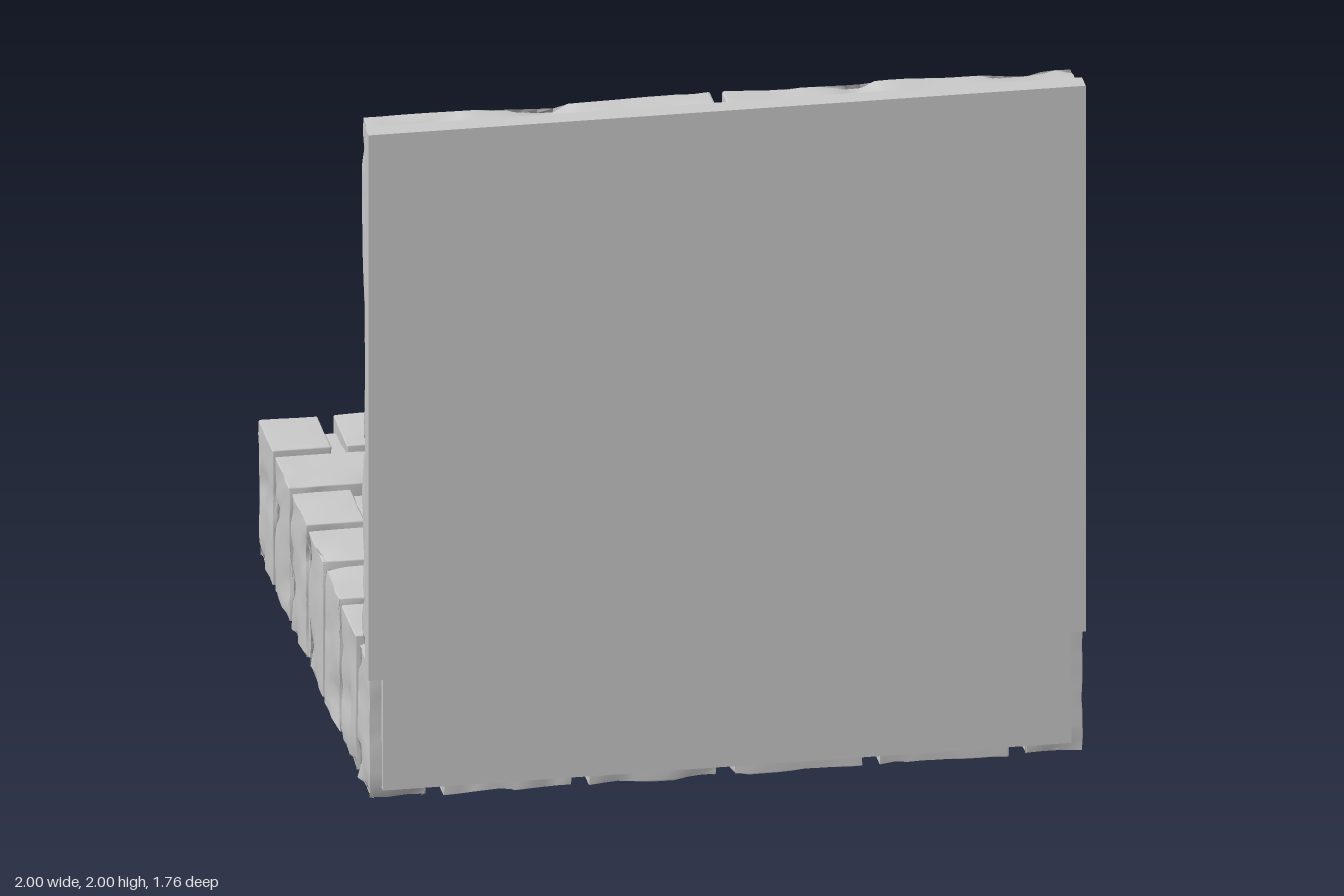
import * as THREE from 'three';
import { mergeVertices } from 'three/addons/utils/BufferGeometryUtils.js';

const grey = new THREE.MeshStandardMaterial({ color: 0xcccccc, roughness: 0.9 });
const { clamp, lerp, smoothstep } = THREE.MathUtils;

function mesh(name, geometry, parent) {
  const m = new THREE.Mesh(geometry, grey);
  m.name = name;
  parent.add(m);
  return m;
}

// box given by its lower and upper limits
function block(name, [x0, x1], [y0, y1], [z0, z1], parent) {
  const m = mesh(name, new THREE.BoxGeometry(x1 - x0, y1 - y0, z1 - z0), parent);
  m.position.set((x0 + x1) / 2, (y0 + y1) / 2, (z0 + z1) / 2);
  return m;
}

// smooth seeded value noise, 0..1
function hash(x, y, z) {
  const s = Math.sin(x * 127.1 + y * 311.7 + z * 74.7) * 43758.5453;
  return s - Math.floor(s);
}
function noise(x, y, z) {
  const c = [x, y, z].map(Math.floor);
  const f = [x - c[0], y - c[1], z - c[2]].map(t => t * t * (3 - 2 * t));
  const row = (j, k) => lerp(hash(c[0], c[1] + j, c[2] + k), hash(c[0] + 1, c[1] + j, c[2] + k), f[0]);
  return lerp(lerp(row(0, 0), row(1, 0), f[1]), lerp(row(0, 1), row(1, 1), f[1]), f[2]);
}

// chipped stone: a box with worn edges and shallow pits
function stone(name, xs, ys, zs, parent, step = 0.035, depth = 0.014) {
  const lim = [xs, ys, zs], size = lim.map(l => l[1] - l[0]), mid = lim.map(l => (l[0] + l[1]) / 2);
  const seg = size.map(s => clamp(Math.round(s / step), 5, 26));
  const r = 0.008;
  const geo = new THREE.BoxGeometry(...size, ...seg);
  geo.deleteAttribute('uv');
  geo.deleteAttribute('normal');
  const pos = geo.attributes.position, p = new THREE.Vector3(), core = new THREE.Vector3(), dir = new THREE.Vector3();
  for (let i = 0; i < pos.count; i++) {
    p.fromBufferAttribute(pos, i);
    for (let a = 0; a < 3; a++) {
      const h = size[a] / 2, v = p.getComponent(a), n = seg[a];
      const k = Math.round((v / size[a] + 0.5) * n);
      // the outermost segment on every side is as wide as the edge radius
      const w = k === 0 ? -h : k === n ? h : lerp(-h + r, h - r, (k - 1) / (n - 2));
      p.setComponent(a, w);
      core.setComponent(a, clamp(w, -h + r, h - r));
    }
    dir.subVectors(p, core).normalize();
    const [x, y, z] = p.toArray().map((v, a) => v + mid[a] + 7);
    const pits = smoothstep(noise(x * 13, y * 13, z * 13), 0.62, 0.95) * depth * 1.3;
    const waves = noise(x * 6 + 3, y * 6, z * 6) * depth * 0.45;
    const chips = smoothstep(noise(x * 28, y * 28 + 5, z * 28), 0.6, 1) * depth * 0.6;
    p.copy(core).addScaledVector(dir, r - pits - waves - chips);
    pos.setXYZ(i, p.x, p.y, p.z);
  }
  const smooth = mergeVertices(geo, 1e-5);
  smooth.computeVertexNormals();
  mesh(name, smooth, parent).position.set(...mid);
}

// brick floor in running bond on a recessed mortar bed
function buildFloor() {
  const floor = new THREE.Group();
  floor.name = 'brickFloor';
  block('mortarBed', [-0.96, 0.96], [0.04, 0.37], [-0.84, 0.88], floor);
  const gap = 0.018;
  const joints = [[-0.81, -0.405, 0, 0.405, 0.81], [-0.61, -0.205, 0.205, 0.61]];
  for (let row = 0; row < 7; row++) {
    const z0 = -0.885 + row * 0.2625;
    const z1 = Math.min(z0 + 0.226, 0.865);
    const edges = [-1 - gap, ...joints[row % 2], 1 + gap];
    for (let i = 0; i + 1 < edges.length; i++) {
      stone('floorBrick', [edges[i] + gap, edges[i + 1] - gap], [0, 0.412], [z0, z1], floor);
    }
  }
  return floor;
}

// thin backing panel faced with four large stones
function buildWall() {
  const wall = new THREE.Group();
  wall.name = 'wall';
  block('wallPanel', [-1, 1], [0.37, 2], [0.82, 0.88], wall);
  for (const ys of [[0.4, 0.985], [1.015, 1.985]]) {
    for (const xs of [[-0.99, -0.015], [0.015, 0.995]]) {
      stone('wallStone', xs, ys, [0.7, 0.826], wall, 0.04, 0.02);
    }
  }
  return wall;
}

// carved picture frame lying on the floor
function buildFrame() {
  const frame = new THREE.Group();
  frame.name = 'pictureFrame';
  frame.position.set(-0.014, 0, -0.125);
  const hx = 0.47, hz = 0.64, ix = 0.335, iz = 0.52, r = 0.045, perSide = 44;
  const bulge = t => Math.cos(t * Math.PI / 2) ** 2 - 0.3 * Math.exp(-(((Math.abs(t) - 0.8) / 0.1) ** 2));

  // profile from the outer foot over the rim to the inner edge: (share of width, height)
  const profile = new THREE.CatmullRomCurve3([
    [1, 0.405], [1, 0.44], [1, 0.485], [0.96, 0.51], [0.84, 0.518], [0.7, 0.5], [0.5, 0.492],
    [0.3, 0.497], [0.14, 0.512], [0.04, 0.508], [0, 0.49], [0, 0.45],
  ].map(([s, y]) => new THREE.Vector3(s, y, 0))).getPoints(36);

  // matching outer and inner outline points, going round once
  const corners = [[1, 1], [1, -1], [-1, -1], [-1, 1]];
  const outline = [];
  for (let c = 0; c < 4; c++) {
    const a = corners[c], b = corners[(c + 1) % 4];
    for (let k = 0; k < perSide; k++) {
      const u = lerp(a[0], b[0], k / perSide), v = lerp(a[1], b[1], k / perSide);
      const cx = clamp(u * hx, -hx + r, hx - r), cz = clamp(v * hz, -hz + r, hz - r);
      const d = new THREE.Vector2(u * hx - cx, v * hz - cz).setLength(r);
      const x = cx + d.x, z = cz + d.y;
      outline.push({
        outer: [x * (1 + 0.068 * bulge(z / hz)), z * (1 + 0.078 * bulge(x / hx))],
        inner: [u * ix, v * iz],
      });
    }
  }

  const n = outline.length, verts = [], index = [];
  profile.forEach((p, j) => {
    outline.forEach(({ outer, inner }, i) => {
      const x = lerp(inner[0], outer[0], p.x), z = lerp(inner[1], outer[1], p.x);
      // scrolling relief, fading out towards both rims
      const mask = smoothstep(p.x, 0.08, 0.25) * (1 - smoothstep(p.x, 0.8, 0.97));
      const bend = 3 * noise(x * 9 + 20, 0, z * 9 + 20);
      const relief = Math.sin(x * 55 + bend * 2) * Math.sin(z * 55 - bend * 2) + 0.4 * Math.sin((x + z) * 80 + bend * 3);
      verts.push(x, p.y + 0.007 * mask * relief, z);
      if (j + 1 < profile.length) {
        const a = j * n + i, b = j * n + (i + 1) % n;
        index.push(a, b, a + n, b, b + n, a + n);
      }
    });
  });
  const geo = new THREE.BufferGeometry();
  geo.setAttribute('position', new THREE.Float32BufferAttribute(verts, 3));
  geo.setIndex(index);
  geo.computeVertexNormals();
  mesh('frameMoulding', geo, frame);

  block('glass', [-ix - 0.01, ix + 0.01], [0.41, 0.475], [-iz - 0.01, iz + 0.01], frame);

  // round studs on two opposite corners
  for (const s of [-1, 1]) {
    const stud = mesh('cornerStud', new THREE.SphereGeometry(0.036, 24, 8, 0, Math.PI * 2, 0, Math.PI / 2), frame);
    stud.scale.y = 0.5;
    stud.position.set(s * 0.372, 0.502, s * 0.56);
    const ring = mesh('studRing', new THREE.TorusGeometry(0.039, 0.006, 8, 28), frame);
    ring.rotation.x = Math.PI / 2;
    ring.position.set(s * 0.372, 0.507, s * 0.56);
  }
  return frame;
}

export function createModel() {
  const model = new THREE.Group();
  model.name = 'brickCornerWithFrame';
  model.add(buildFloor(), buildWall(), buildFrame());
  return model;
}
